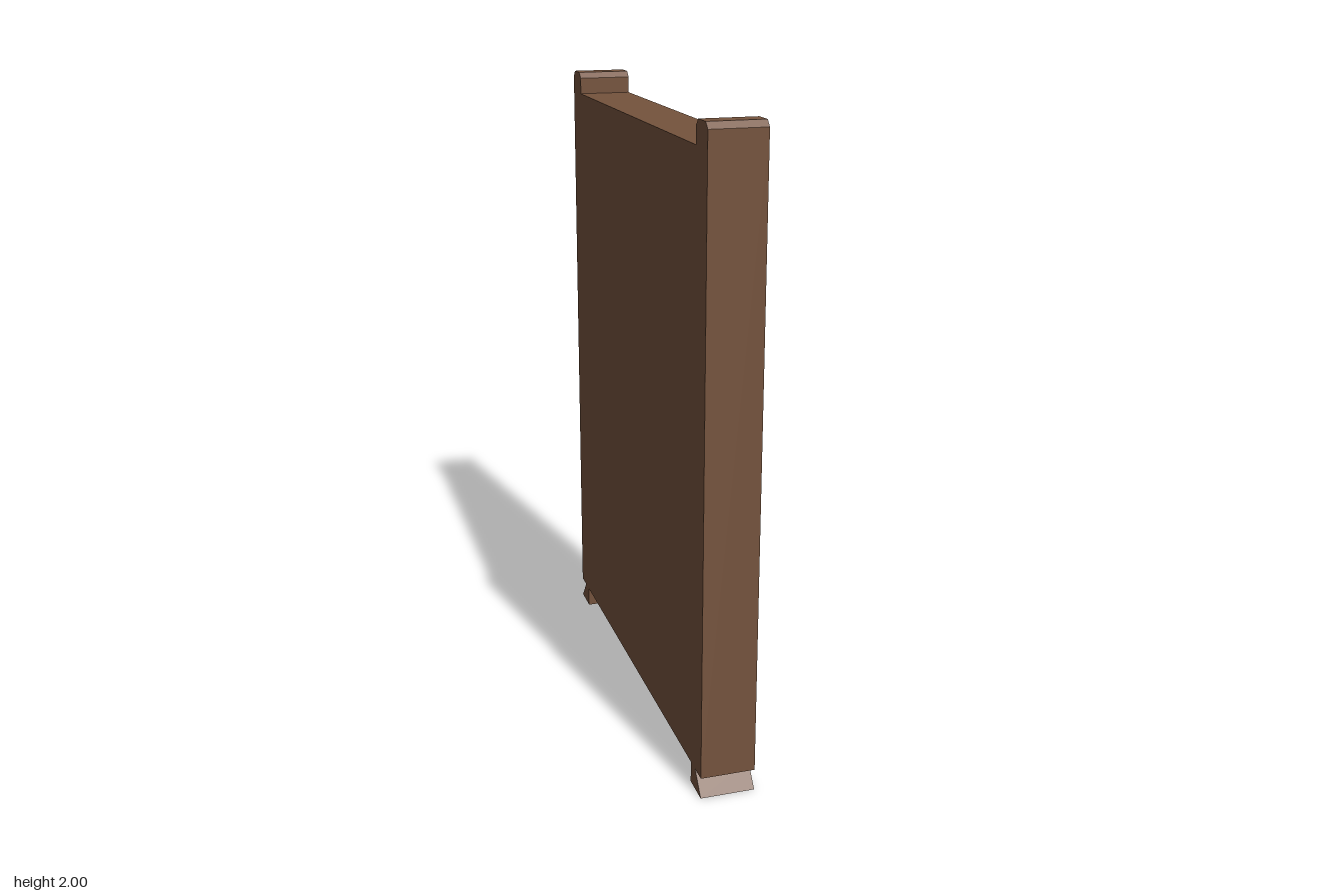
import * as THREE from 'three';

const DEPTH = 0.17, INNER = 0.633, OUTER = 0.73, BASE = 0.068;
const BACK = -0.065; // inner face of the back panel
const THICK = 0.053, THIN = 0.026, GAP = 0.007, TALL = 0.236, SHORT = 0.198;

// Books run from left to right. The letter is the cover colour: a capital is a
// thick book, a small letter a thin one, and + marks a tall one.
const SHELVES = [
  { floor: 1.555, ceiling: 1.845, start: 0.606, end: -0.623, row: 'mB+G+C+wGMb+gCg+M+C+bMG+M+B+GcW+Gw+b' },
  { floor: 1.265, ceiling: 1.525, start: 0.617, end: -0.633, row: 'G+WB+m+wGGcMBg+gw+G+cMbW+C+G+wg+MGbw+w+' },
  { floor: 0.977, ceiling: 1.235, start: 0.628, end: -0.617, row: 'G+Wyw+CGB+W+gb+C+WgCM+Bg+GWM+gcWB+G' },
  { floor: 0.69, ceiling: 0.94, start: 0.622, end: -0.633, row: 'bW+G+M+cb+GMgM+B+wC+mGBg+GBwC+G+M+bG+' },
  { floor: 0.4, ceiling: 0.655, start: 0.628, end: -0.474, row: 'G+wBCg+G+G+wG+Mb+wC+GmWG+gb+WwG+w' },
  { floor: 0.113, ceiling: 0.363, start: 0.612, end: -0.362, row: 'w+W+B+M+c+G+g+M+B+W+g+wc+G+B+Wg+wB+C+' },
];

// Loose books at the ends of the two lowest shelves
const LOOSE = [
  { shelf: 4, cover: 'B', z: -0.537, width: 0.05, height: 0.234, lean: 0.17 },
  { shelf: 4, cover: 'G', z: -0.606, width: 0.048, height: 0.192, lean: 0.14 },
  { shelf: 5, cover: 'M', z: -0.415, width: 0.045, height: 0.188, lean: 0.42 },
  { shelf: 5, cover: 'G', z: -0.463, width: 0.015, height: 0.225, lean: 0.25 },
  { shelf: 5, cover: 'W', z: -0.511, width: 0.032, height: 0.235, lean: 0.26 },
  { shelf: 5, cover: 'B', z: -0.632, width: 0.064, height: 0.242, lean: 0 },
];

export function createModel() {
  const model = new THREE.Group();
  model.name = 'bookcase';
  const paint = (name, color) => Object.assign(new THREE.MeshStandardMaterial({ color }), { name });
  const wood = paint('wood', 0x75533d);
  const covers = {
    W: wood,
    G: paint('greenCover', 0x505a4a),
    M: paint('maroonCover', 0x5f444b),
    B: paint('blueCover', 0x425467),
    C: paint('creamCover', 0xa1936e),
    Y: paint('yellowCover', 0xcf9d3e),
  };

  const add = (parent, name, geometry, material = wood) => {
    const mesh = new THREE.Mesh(geometry, material);
    mesh.name = name;
    parent.add(mesh);
    return mesh;
  };
  // Box between two corners
  const box = (x0, x1, y0, y1, z0, z1) =>
    new THREE.BoxGeometry(x1 - x0, y1 - y0, z1 - z0).translate((x0 + x1) / 2, (y0 + y1) / 2, (z0 + z1) / 2);
  // Outline given as [z, y], extruded through the full depth along x
  const prism = (points) =>
    new THREE.ExtrudeGeometry(new THREE.Shape(points.map(([z, y]) => new THREE.Vector2(z, y))),
      { depth: DEPTH, bevelEnabled: false }).rotateY(-Math.PI / 2).translate(DEPTH / 2, 0, 0);
  const half = DEPTH / 2;

  // End posts with chamfered tops, and splayed feet
  for (const [side, s] of [['front', 1], ['back', -1]]) {
    add(model, side + 'Post', prism([[INNER * s, BASE], [OUTER * s, BASE], [OUTER * s, 1.982],
      [(OUTER - 0.018) * s, 2], [(INNER + 0.018) * s, 2], [INNER * s, 1.982]]));
    add(model, side + 'Foot', prism([[INNER * s, 0], [OUTER * s, 0], [0.675 * s, BASE], [INNER * s, BASE]]));
  }

  // Back panel and top rail
  add(model, 'backPanel', box(-half, BACK, BASE, 1.93, -INNER, INNER));
  add(model, 'topRail', box(BACK, half, SHELVES[0].ceiling, 1.93, -INNER, INNER));

  // A book pivots on its lower right corner, so a leaning one rests on the shelf
  const addBook = (parent, cover, floor, z, width, height, spine, lean = 0) => {
    const book = add(parent, 'book', box(BACK, spine, 0, height, 0, width), covers[cover]);
    book.position.set(0, floor, z);
    book.rotation.x = -lean;
  };

  // Shelf boards and the books standing on them
  SHELVES.forEach(({ floor, start, end, row }, level) => {
    const under = level < SHELVES.length - 1 ? SHELVES[level + 1].ceiling : BASE;
    add(model, 'shelf' + (level + 1), box(BACK, half, under, floor, -INNER, INNER));

    const books = new THREE.Group();
    books.name = 'books' + (level + 1);
    model.add(books);

    // Widths are evened out so that the row fills its length
    const marks = row.match(/[A-Za-z][+]?/g);
    const widths = marks.map(([letter]) => (letter === letter.toUpperCase() ? THICK : THIN));
    const total = widths.reduce((sum, width) => sum + width, 0);
    const fit = (start - end - GAP * (marks.length - 1)) / total;
    let z = start;
    marks.forEach((mark, i) => {
      const width = widths[i] * fit;
      const height = mark.length > 1 ? TALL + 0.006 * ((i % 3) - 1) : SHORT;
      addBook(books, mark[0].toUpperCase(), floor, z - width, width, height, 0.056 + 0.004 * ((i * 7 + level * 3) % 4));
      z -= width + GAP;
    });

    LOOSE.filter(({ shelf }) => shelf === level).forEach(({ cover, z: corner, width, height, lean }) =>
      addBook(books, cover, floor, corner, width, height, 0.06, lean));
  });
  return model;
}
